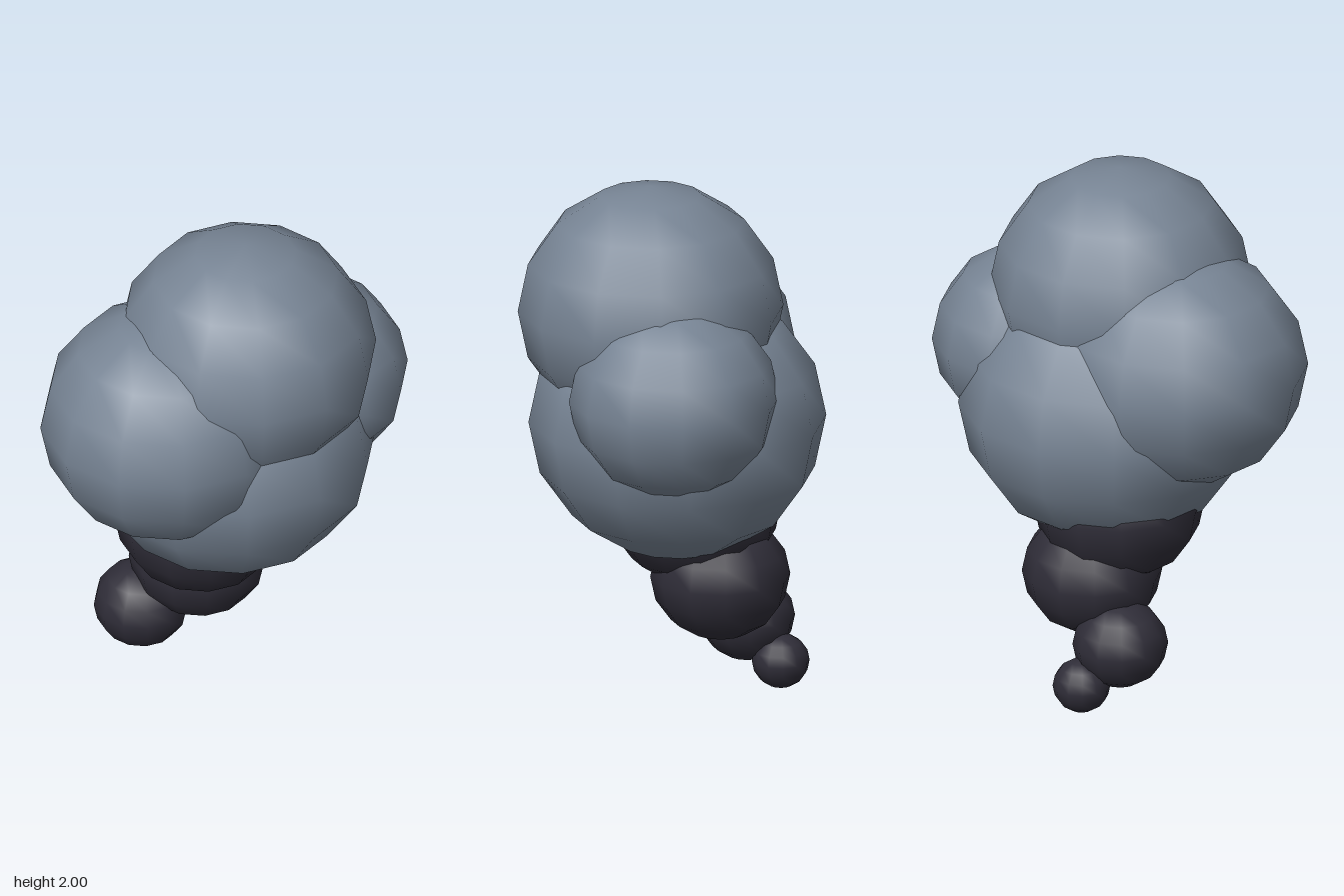
import * as THREE from 'three';

export function createModel() {
  const model = new THREE.Group();
  model.name = 'smokePlume';

  const paleSmoke = new THREE.MeshStandardMaterial({ color: 0x778494 });
  paleSmoke.name = 'paleSmoke';
  const darkSmoke = new THREE.MeshStandardMaterial({ color: 0x2f2d38 });
  darkSmoke.name = 'darkSmoke';

  // One coarse, smooth-shaded ball shared by every puff
  const ball = new THREE.SphereGeometry(1, 12, 8);

  function addPuff(name, material, position, radii) {
    const puff = new THREE.Mesh(ball, material);
    puff.name = name;
    puff.position.set(...position);
    puff.scale.set(...radii);
    model.add(puff);
  }

  // Billowing cloud
  addPuff('topPuff', paleSmoke, [0.03, 1.524, 0.08], [0.49, 0.476, 0.497]);
  addPuff('mainPuff', paleSmoke, [0.03, 1.09, -0.02], [0.56, 0.522, 0.557]);
  addPuff('rightPuff', paleSmoke, [-0.263, 1.29, -0.01], [0.484, 0.456, 0.476]);
  addPuff('leftPuff', paleSmoke, [0.35, 1.265, 0.02], [0.393, 0.375, 0.393]);

  // Dark trail, shrinking towards the ground
  addPuff('collarPuff', darkSmoke, [-0.053, 0.74, -0.09], [0.322, 0.31, 0.33]);
  addPuff('upperTrailPuff', darkSmoke, [0.012, 0.468, -0.182], [0.262, 0.24, 0.262]);
  addPuff('lowerTrailPuff', darkSmoke, [-0.168, 0.249, -0.297], [0.178, 0.165, 0.18]);
  addPuff('trailTip', darkSmoke, [-0.067, 0.103, -0.415], [0.108, 0.103, 0.108]);

  return model;
}
